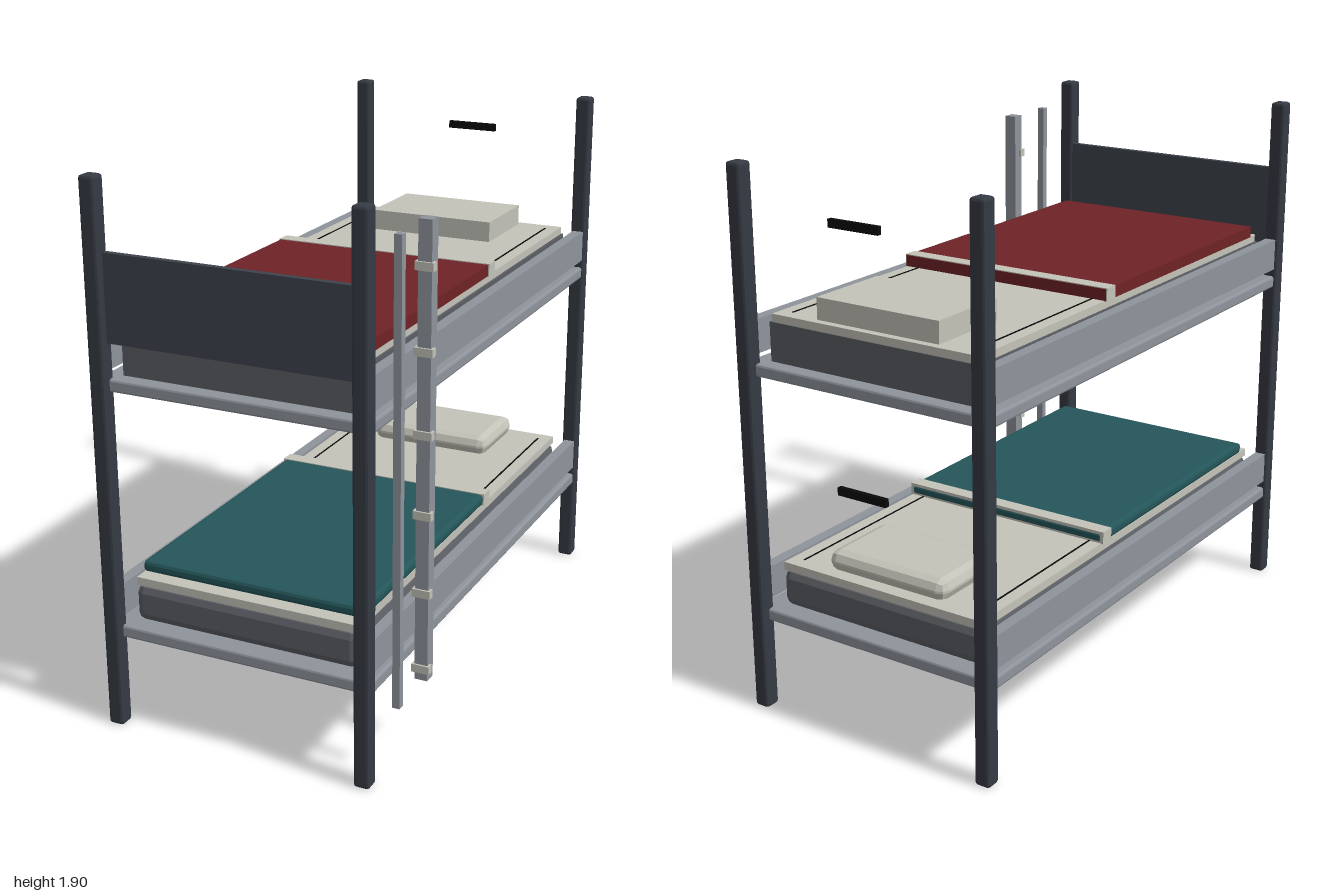
import * as THREE from 'three';
import { RoundedBoxGeometry } from 'three/addons/geometries/RoundedBoxGeometry.js';

const paint = (color) => new THREE.MeshStandardMaterial({ color, flatShading: true });
const MAT = {
  post: paint(0x353a43),
  panel: paint(0x3e434c),
  rail: paint(0x8f949c),
  mattress: paint(0x5b5e64),
  sheet: paint(0xc4c3b9),
  red: paint(0x6f2326),
  teal: paint(0x24565a),
  black: paint(0x0a0a0c),
};

// Box given by its [min, max] range on each axis; bevel > 0 chamfers the edges
function block(parent, name, mat, [x0, x1], [y0, y1], [z0, z1], bevel = 0) {
  const w = x1 - x0, h = y1 - y0, d = z1 - z0;
  const geo = bevel > 0
    ? new RoundedBoxGeometry(w, h, d, 1, bevel)
    : new THREE.BoxGeometry(w, h, d);
  const mesh = new THREE.Mesh(geo, mat);
  mesh.name = name;
  mesh.position.set((x0 + x1) / 2, (y0 + y1) / 2, (z0 + z1) / 2);
  parent.add(mesh);
  return mesh;
}

// One bunk; y = 0 is the underside of its base. soft = chamfered bedding
function bunk(name, y, cover, soft) {
  const g = new THREE.Group();
  g.name = name;
  g.position.y = y;

  // Base and side rails
  block(g, 'base', MAT.rail, [-0.515, 0.45], [0, 0.044], [-0.968, 0.968], 0.008);
  block(g, 'leftRail', MAT.rail, [0.41, 0.45], [0.072, 0.187], [-0.96, 0.96]);
  block(g, 'rightRail', MAT.rail, [-0.515, -0.475], [0.072, 0.187], [-0.96, 0.96]);

  // Mattress and sheet, with a thin seam along each side
  block(g, 'mattress', MAT.mattress, [-0.451, 0.379], [0.044, 0.178], [-0.916, 0.916], soft ? 0.03 : 0);
  block(g, 'sheet', MAT.sheet, [-0.443, 0.371], [0.176, 0.205], [-0.912, 0.912]);
  for (const x of [-0.395, 0.323]) {
    block(g, 'sheetSeam', MAT.black, [x - 0.003, x + 0.003], [0.2, 0.207], [-0.865, -0.19]);
  }

  // Blanket with its folded edge
  block(g, 'blanket', cover, [-0.447, 0.375], [0.204, 0.245], [-0.195, 0.866], soft ? 0.013 : 0);
  block(g, 'blanketFold', MAT.sheet, [-0.451, 0.379], [0.204, 0.248], [-0.193, -0.139]);

  // Pillow
  block(g, 'pillow', MAT.sheet, [-0.275, 0.204], [0.204, 0.28], [-0.885, -0.577], soft ? 0.034 : 0);

  // Dark plate at the head end
  block(g, 'headPlate', MAT.black, [-0.13, 0.062], [0.543, 0.57], [-0.985, -0.968]);
  return g;
}

export function createModel() {
  const model = new THREE.Group();
  model.name = 'bunkBed';

  // Corner posts
  for (const x of [-0.498, 0.428]) {
    for (const z of [-0.971, 0.971]) {
      block(model, 'post', MAT.post, [x - 0.028, x + 0.028], [0, 1.9], [z - 0.029, z + 0.029], 0.01);
    }
  }

  // Two bunks
  model.add(bunk('lowerBunk', 0.323, MAT.teal, true));
  model.add(bunk('upperBunk', 1.195, MAT.red, false));

  // Panel at the foot of the upper bunk
  block(model, 'footPanel', MAT.panel, [-0.48, 0.41], [1.36, 1.655], [0.948, 0.97]);

  // Ladder uprights and the brackets on the thicker one
  const ladder = new THREE.Group();
  ladder.name = 'ladder';
  model.add(ladder);
  block(ladder, 'thickUpright', MAT.rail, [0.472, 0.518], [0.25, 1.8], [0.64, 0.685]);
  block(ladder, 'thinUpright', MAT.rail, [0.485, 0.511], [0.25, 1.8], [0.861, 0.887]);
  for (let i = 0; i < 6; i++) {
    const y = 0.292 + i * 0.2725;
    block(ladder, 'bracket', MAT.sheet, [0.463, 0.526], [y - 0.014, y + 0.014], [0.667, 0.692]);
  }
  return model;
}
